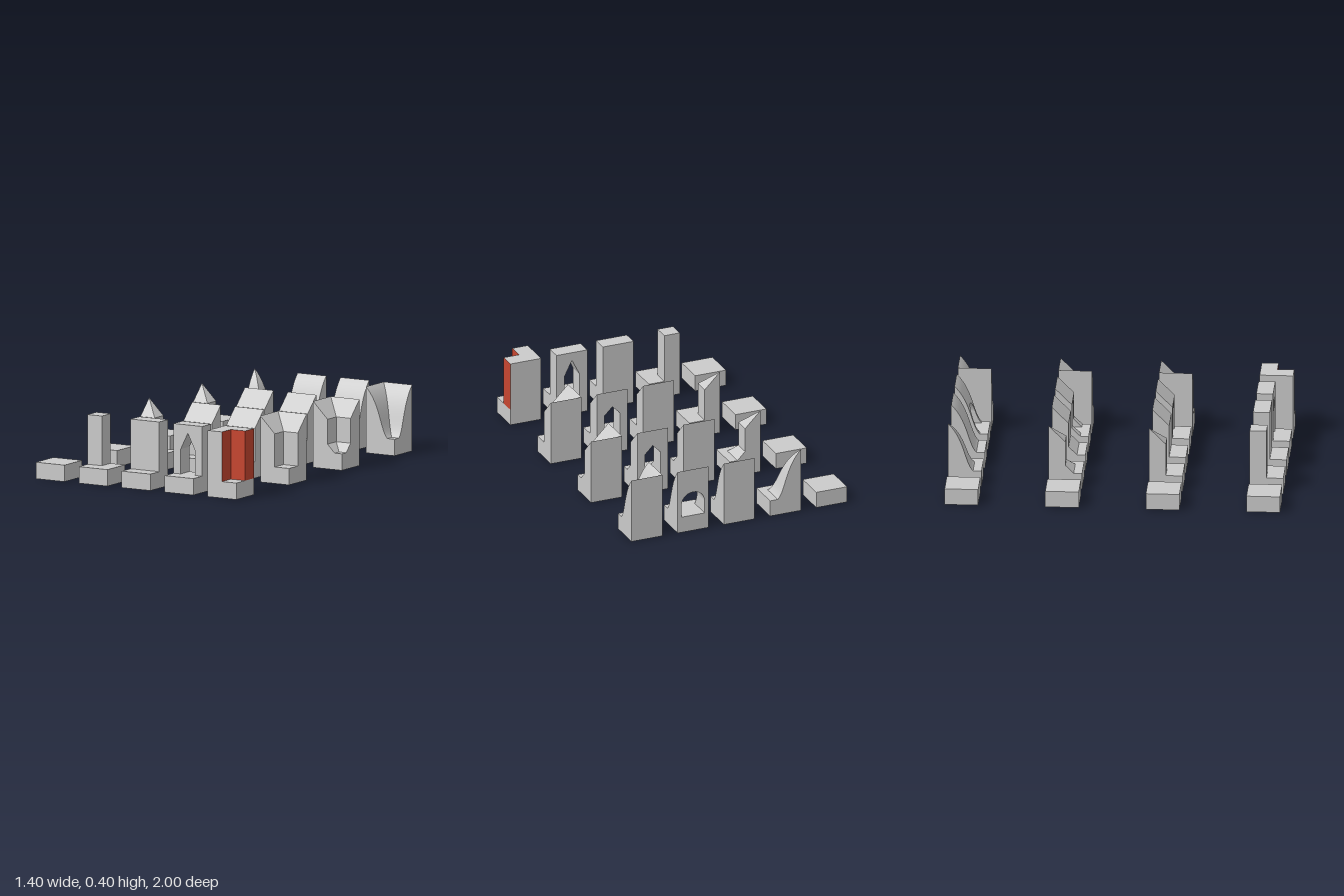
import * as THREE from 'three';
import { mergeGeometries, toCreasedNormals } from 'three/addons/utils/BufferGeometryUtils.js';

const SIZE = 0.2, BASE = 0.1, TOP = 0.4;
const grey = new THREE.MeshStandardMaterial({ color: 0xcccccc });
const red = new THREE.MeshStandardMaterial({ color: 0xc84630 });

// Front edge of a wall, bottom to top, as [depth, height]
const plain = [[0.1, BASE], [0.1, TOP], [0, TOP]];
const sloped = [[0.1, BASE], [0.1, 0.3], [0, TOP]];
const footed = [[0.15, BASE], [0.1, 0.15], [0.1, 0.3], [0, TOP]];
const curved = new THREE.CubicBezierCurve(...footed.map(p => new THREE.Vector2(...p)))
  .getPoints(20).map(p => [p.x, p.y]);

// Solid through matching closed rings of [x, y, z]; swap exchanges x and z
function loft(rings, swap = false) {
  const pos = [];
  const tri = (a, b, c) => {
    const [p, q, r] = [a, b, c].map(v => new THREE.Vector3(...(swap ? [v[2], v[1], v[0]] : v)));
    const area = q.clone().sub(p).cross(r.clone().sub(p)).length();
    if (area < 1e-9) return;
    for (const v of swap ? [p, r, q] : [p, q, r]) pos.push(v.x, v.y, v.z);
  };
  const n = rings[0].length;
  for (let k = 0; k + 1 < rings.length; k++) {
    const A = rings[k], B = rings[k + 1];
    for (let i = 0; i < n; i++) {
      const j = (i + 1) % n;
      tri(A[i], B[i], B[j]);
      tri(A[i], B[j], A[j]);
    }
  }
  // End caps
  [rings[0], rings[rings.length - 1]].forEach((ring, end) => {
    const flat = ring.map(p => new THREE.Vector2(p[2], p[1]));
    for (const [a, b, c] of THREE.ShapeUtils.triangulateShape(flat, [])) {
      const ccw = THREE.ShapeUtils.area([flat[a], flat[b], flat[c]]) > 0;
      if (ccw === (end === 0)) tri(ring[a], ring[b], ring[c]);
      else tri(ring[a], ring[c], ring[b]);
    }
  });
  const g = new THREE.BufferGeometry();
  g.setAttribute('position', new THREE.Float32BufferAttribute(pos, 3));
  return toCreasedNormals(g, 0.5);
}

// Closed section of a profile; xOf gives x from depth
const section = (profile, xOf, bottom = BASE) =>
  [...profile, [0, bottom]].map(([d, y]) => [xOf(d), y, d]);

const wall = (profile, x0 = 0, x1 = SIZE) =>
  loft([section(profile, () => x0), section(profile, () => x1)]);

// Two mitred halves meeting on the diagonal
function pillar(profile) {
  const rings = [section(profile, () => 0), section(profile, d => d)];
  return mergeGeometries([loft(rings), loft(rings, true)]);
}
function innerCorner(profile) {
  const rings = [section(profile, d => d), section(profile, () => SIZE)];
  return mergeGeometries([loft(rings), loft(rings, true)]);
}

// Part of a profile above height h, keeping the point count
function clipAbove(profile, h) {
  const i = profile.findIndex(p => p[1] >= h);
  const [a, b] = [profile[Math.max(i - 1, 0)], profile[i]];
  const t = b[1] > a[1] ? (h - a[1]) / (b[1] - a[1]) : 0;
  const cut = [a[0] + (b[0] - a[0]) * t, h];
  return profile.map(p => (p[1] < h ? cut : p));
}

// Two jambs and a lintel over the opening
function doorway(profile, { half, spring, apex, round }) {
  const mid = SIZE / 2, steps = round ? 12 : 2, rings = [];
  for (let i = 0; i <= steps; i++) {
    const u = round ? -Math.cos(Math.PI * i / steps) : -1 + 2 * i / steps;
    const rise = round ? Math.sqrt(Math.max(0, 1 - u * u)) : 1 - Math.abs(u);
    const h = spring + (apex - spring) * rise;
    rings.push(section(clipAbove(profile, h), () => mid + u * half, h));
  }
  return mergeGeometries([
    wall(profile, 0, mid - half), loft(rings), wall(profile, mid + half, SIZE),
  ]);
}

export function createModel() {
  const model = new THREE.Group();
  model.name = 'wallTileSet';
  const pointed = { half: 0.05, spring: 0.25, apex: 0.3 };
  const rows = [
    { name: 'plain', z: 0.9, profile: plain, door: { ...pointed, apex: 0.35 } },
    { name: 'sloped', z: 0.3, profile: sloped, door: pointed },
    { name: 'footed', z: -0.3, profile: footed, door: pointed },
    { name: 'curved', z: -0.9, profile: curved, door: { half: 0.075, spring: 0.18, apex: 0.252, round: true } },
  ];
  const kinds = [
    ['Floor', null],
    ['Pillar', r => pillar(r.profile)],
    ['Wall', r => wall(r.profile)],
    ['Doorway', r => doorway(r.profile, r.door)],
    ['InnerCorner', r => innerCorner(r.profile)],
  ];
  const baseGeometry = new THREE.BoxGeometry(SIZE, BASE, SIZE);

  for (const row of rows) {
    kinds.forEach(([kind, build], column) => {
      // Tile origin is its back corner
      const tile = new THREE.Group();
      tile.name = row.name + kind;
      tile.position.set(-0.7 + column * 0.3, 0, row.z - SIZE / 2);
      const base = new THREE.Mesh(baseGeometry, grey);
      base.name = 'base';
      base.position.set(SIZE / 2, BASE / 2, SIZE / 2);
      tile.add(base);
      if (build) {
        const body = new THREE.Mesh(build(row), grey);
        body.name = kind.toLowerCase();
        tile.add(body);
      }
      // Red faces of the plain inner corner
      if (kind === 'InnerCorner' && row.name === 'plain') {
        const e = 0.0006, y = (BASE + TOP) / 2;
        for (const [x, z, turn] of [[0.15, 0.1 + e, 0], [0.1 + e, 0.15, 1], [0.2 + e, 0.05, 1]]) {
          const panel = new THREE.Mesh(new THREE.PlaneGeometry(0.1, TOP - BASE), red);
          panel.name = 'redPanel';
          panel.position.set(x, y, z);
          panel.rotation.y = turn * Math.PI / 2;
          tile.add(panel);
        }
      }
      model.add(tile);
    });
  }
  return model;
}
